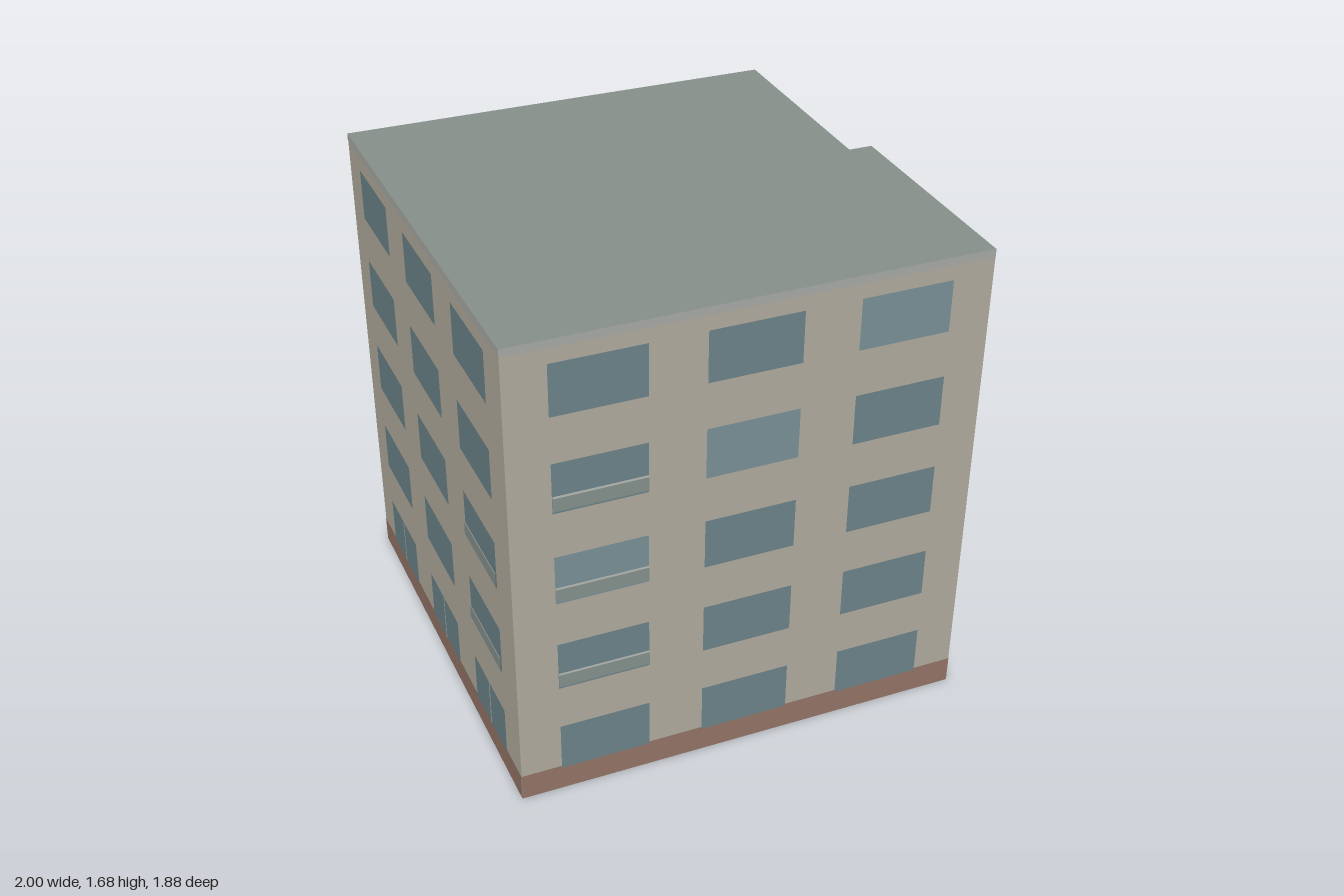
import * as THREE from 'three';

const mat = (color, side = THREE.FrontSide) => new THREE.MeshStandardMaterial({ color, side });

// Footprint corners (x, z), counter-clockwise seen from above
const A = [-1, -0.44], B = [0.385, -0.94], C = [0.645, -0.275];
const D = [0.72, -0.302], E = [1, 0.41], F = [-0.44, 0.94];

const HEIGHT = 1.68, PLINTH_H = 0.095, TRIM_H = 0.025;
const FLOORS = 5, FLOOR_STEP = 0.335, SILL = 0.088, WINDOW_H = 0.176;
const THREE_BAYS = [[0.088, 0.283], [0.402, 0.598], [0.717, 0.912]];
const ONE_BAY = [[0.225, 0.772]];

export function createModel() {
  const building = new THREE.Group();
  building.name = 'apartmentBlock';

  const wall = mat(0xb0aa9d, THREE.DoubleSide), roofing = mat(0x868f8b, THREE.DoubleSide);
  const brick = mat(0x927366), trim = mat(0xa6a9a6);
  const glass = mat(0x6b8389), paleGlass = mat(0x789096), frame = mat(0xa5aba8);
  const panel = mat(0x84908c, THREE.DoubleSide), rail = mat(0xb6bab5, THREE.DoubleSide);

  // Flat roof over a hollow shell that is open underneath
  const outline = new THREE.Shape([F, E, D, C, B, A].map(([x, z]) => new THREE.Vector2(x, -z)));
  const roof = new THREE.Mesh(new THREE.ShapeGeometry(outline).rotateX(-Math.PI / 2), roofing);
  roof.name = 'roof';
  roof.position.y = HEIGHT;
  building.add(roof);

  // A facade runs along local x from p to q, with local z pointing outward
  const facade = (name, p, q, bays = [], { split, pale, balcony } = {}) => {
    const dx = q[0] - p[0], dz = q[1] - p[1], length = Math.hypot(dx, dz);
    const group = new THREE.Group();
    group.name = name;
    group.position.set(p[0], 0, p[1]);
    group.rotation.y = Math.atan2(-dz, dx);
    building.add(group);

    // Upright rectangle centred at x, from y0 up, standing z in front of the wall
    const rect = (part, material, x, w, y0, h, z) => {
      const mesh = new THREE.Mesh(new THREE.PlaneGeometry(w, h), material);
      mesh.name = part;
      mesh.position.set(x, y0 + h / 2, z);
      group.add(mesh);
    };
    rect('wall', wall, length / 2, length, 0, HEIGHT, 0);
    if (!bays.length) return;

    rect('plinth', brick, length / 2, length, 0, PLINTH_H, 0.001);
    rect('roofTrim', trim, length / 2, length, HEIGHT - TRIM_H, TRIM_H, 0.001);
    for (let floor = 0; floor < FLOORS; floor++) {
      const y = SILL + floor * FLOOR_STEP;
      bays.forEach(([t0, t1], bay) => {
        const w = (t1 - t0) * length, x = (t0 + t1) / 2 * length;
        rect('window', pale(floor, bay) ? paleGlass : glass, x, w, y, WINDOW_H, 0.002);
        if (split(floor, bay)) rect('mullion', frame, x, 0.009, y, WINDOW_H, 0.003);
        // Thin balcony front with a pale handrail
        if (balcony(floor, bay)) {
          rect('balconyPanel', panel, x, w, y + 0.009, 0.047, 0.006);
          rect('balconyRail', rail, x, w, y + 0.056, 0.008, 0.006);
        }
      });
    }
  };

  const never = () => false, always = () => true, topFloor = (f) => f === FLOORS - 1;
  facade('frontFacade', F, E, THREE_BAYS, {
    split: never,
    pale: (f, b) => f === b + 2,
    balcony: (f, b) => b === 0 && f >= 1 && f <= 3,
  });
  facade('leftFrontFacade', E, D, ONE_BAY, { split: always, pale: topFloor, balcony: never });
  facade('notchWall', D, C);
  facade('leftBackFacade', C, B, ONE_BAY, { split: always, pale: topFloor, balcony: never });
  facade('backFacade', B, A, THREE_BAYS, {
    split: (f, b) => f < 3 || (f === 3 && b > 0),
    pale: (f, b) => f === 4 && b === 2,
    balcony: never,
  });
  facade('rightFacade', A, F, THREE_BAYS, {
    split: (f) => f === 0,
    pale: never,
    balcony: (f, b) => b === 2 && (f === 1 || f === 2),
  });

  return building;
}
